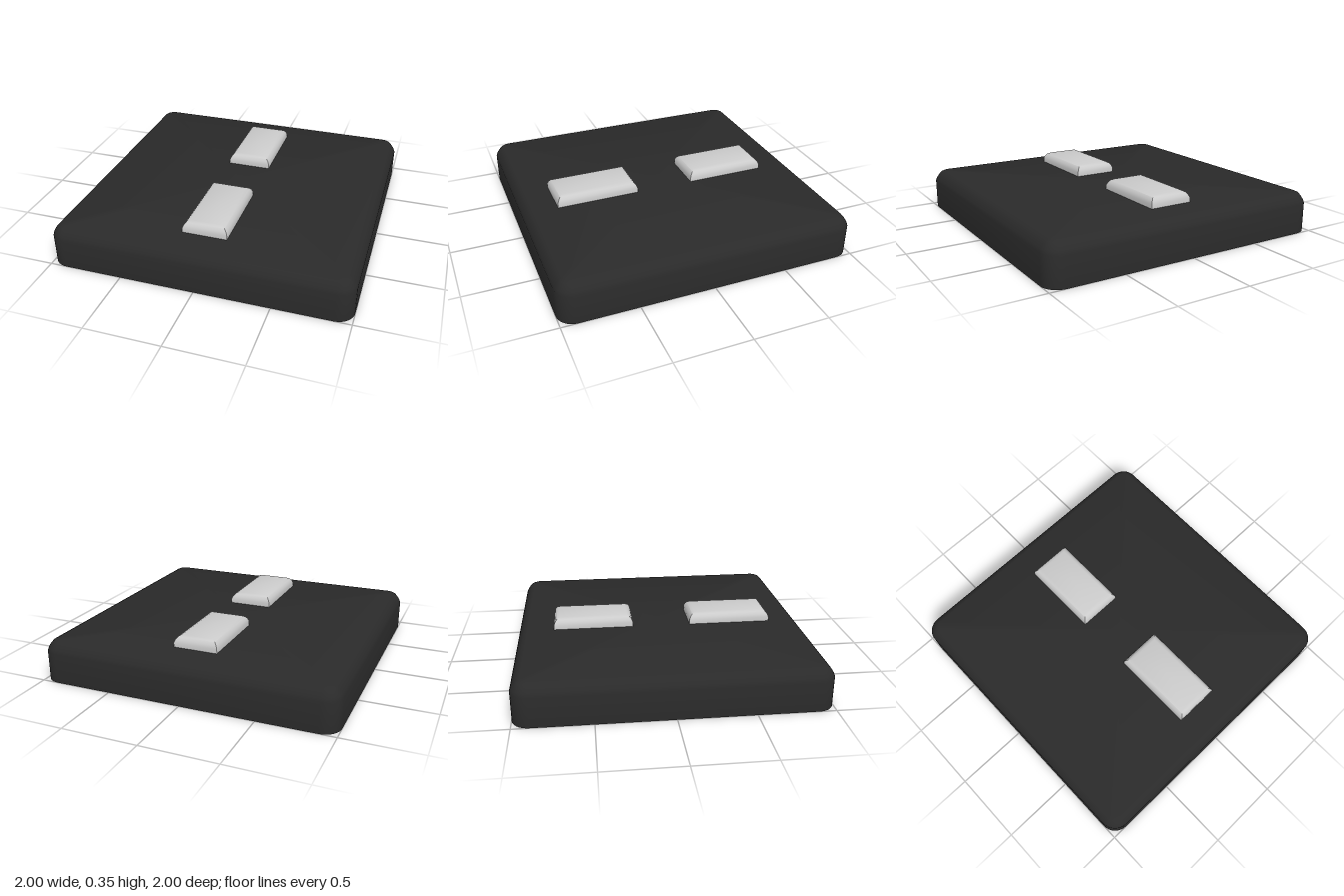
import * as THREE from 'three';
import { toCreasedNormals } from 'three/addons/utils/BufferGeometryUtils.js';

// Closed block: rounded-rectangle rings stacked along a profile of [inset, y]
function bevelledBlock(width, depth, radius, cornerSteps, profile) {
  const positions = [];
  const index = [];
  const n = 4 * (cornerSteps + 1);
  for (const [inset, y] of profile) {
    const r = Math.max(radius - inset, 0);
    const cx = width / 2 - inset - r;
    const cz = depth / 2 - inset - r;
    for (let q = 0; q < 4; q++) {
      const sx = q === 0 || q === 3 ? 1 : -1;
      const sz = q < 2 ? 1 : -1;
      for (let i = 0; i <= cornerSteps; i++) {
        const a = (q + (cornerSteps ? i / cornerSteps : 0.5)) * Math.PI / 2;
        positions.push(sx * cx + r * Math.cos(a), y, sz * cz + r * Math.sin(a));
      }
    }
  }
  const last = (profile.length - 1) * n;
  const bottom = profile.length * n;
  positions.push(0, profile[0][1], 0, 0, profile[profile.length - 1][1], 0);
  for (let i = 0; i < n; i++) {
    const j = (i + 1) % n;
    for (let k = 0; k < last; k += n) {
      index.push(k + i, k + n + i, k + j, k + j, k + n + i, k + n + j);
    }
    index.push(bottom, i, j, bottom + 1, last + j, last + i);
  }
  const geometry = new THREE.BufferGeometry();
  geometry.setAttribute('position', new THREE.Float32BufferAttribute(positions, 3));
  geometry.setIndex(index);
  return toCreasedNormals(geometry, 0.8);
}

export function createModel() {
  const model = new THREE.Group();
  model.name = 'slabWithBars';

  // Dark slab with rounded corners and a softened top edge
  const slab = new THREE.Mesh(
    bevelledBlock(2, 2, 0.11, 8, [
      [0, 0], [0, 0.2], [0.009, 0.222], [0.024, 0.245], [0.042, 0.265], [0.065, 0.275],
    ]),
    new THREE.MeshStandardMaterial({ color: 0x2a2a2a })
  );
  slab.name = 'slab';
  model.add(slab);

  // Two raised bars in line on the top
  const barMaterial = new THREE.MeshStandardMaterial({ color: 0xcccccc });
  for (const [name, z0, z1] of [['frontBar', 0.2, 0.77], ['backBar', -0.75, -0.2]]) {
    const bar = new THREE.Mesh(
      bevelledBlock(0.3, z1 - z0, 0, 0, [
        [0, 0.27], [0, 0.305], [0.008, 0.325], [0.022, 0.342], [0.042, 0.352],
      ]),
      barMaterial
    );
    bar.name = name;
    bar.position.z = (z0 + z1) / 2;
    model.add(bar);
  }
  return model;
}
